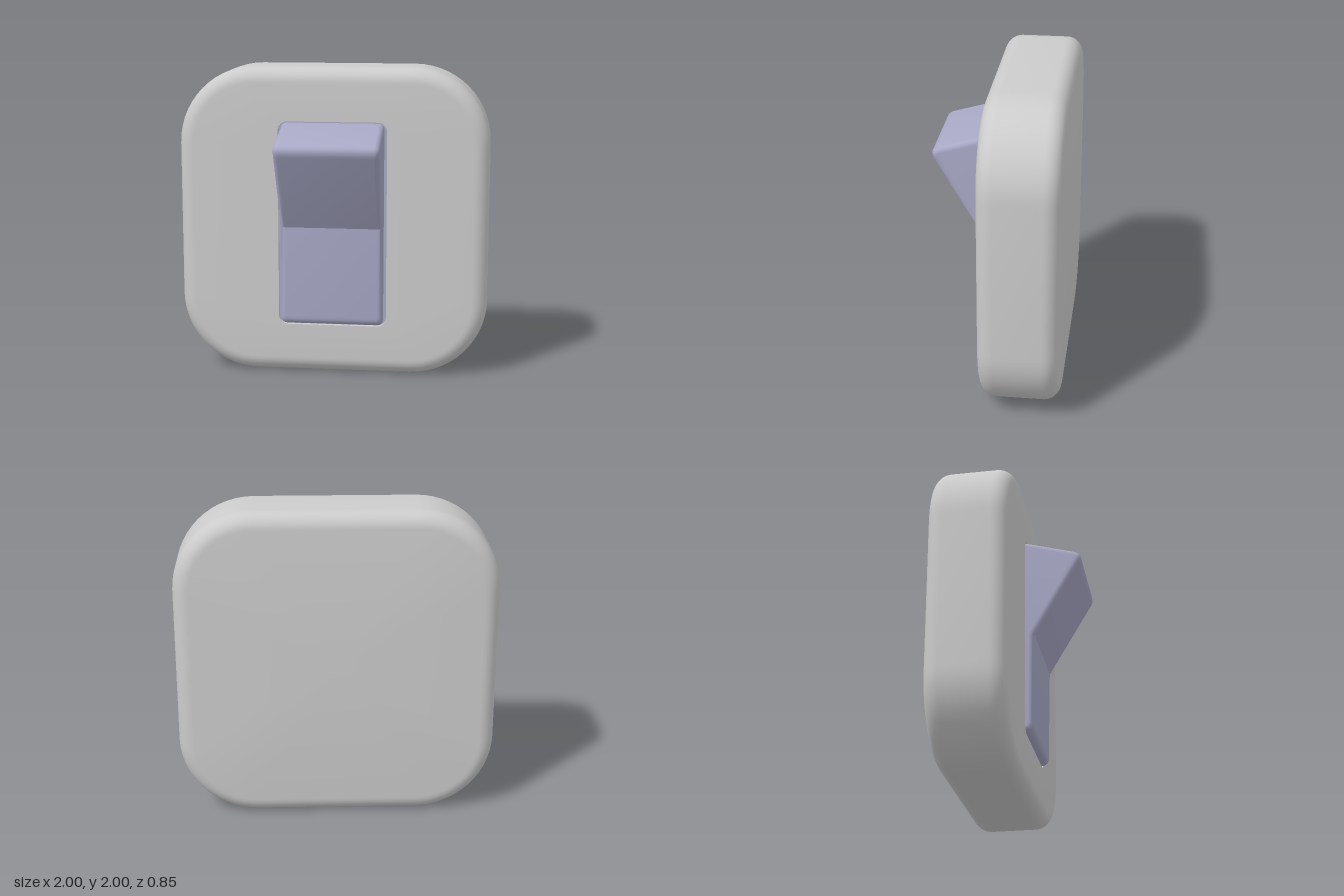
import * as THREE from 'three';
import { toCreasedNormals } from 'three/addons/utils/BufferGeometryUtils.js';

const CORNER_STEPS = 14;

// Rounded rectangle loop, counter-clockwise seen from +z
function ring(halfW, halfH, r, z) {
  const pts = [];
  for (let c = 0; c < 4; c++) {
    const sx = c === 0 || c === 3 ? 1 : -1;
    const sy = c < 2 ? 1 : -1;
    for (let i = 0; i <= CORNER_STEPS; i++) {
      const a = (c + i / CORNER_STEPS) * Math.PI / 2;
      pts.push(sx * (halfW - r) + r * Math.cos(a), sy * (halfH - r) + r * Math.sin(a), z);
    }
  }
  return pts;
}

// Skin a list of equal loops, ordered from back to front
function loft(rings) {
  const n = rings[0].length / 3;
  const index = [];
  for (let i = 0; i < rings.length - 1; i++) {
    for (let j = 0; j < n; j++) {
      const a = i * n + j, b = i * n + (j + 1) % n;
      index.push(a, b, b + n, a, b + n, a + n);
    }
  }
  const geo = new THREE.BufferGeometry();
  geo.setAttribute('position', new THREE.Float32BufferAttribute(rings.flat(), 3));
  geo.setIndex(index);
  return toCreasedNormals(geo, 0.45);
}

function part(name, geo, color) {
  const mesh = new THREE.Mesh(geo, new THREE.MeshStandardMaterial({ color }));
  mesh.name = name;
  return mesh;
}

export function createModel() {
  const group = new THREE.Group();
  group.name = 'rockerSwitch';
  const blue = 0xa8a8c6;
  const back = -0.425, front = 0.07, bevel = 0.1, floor = 0.04;

  // Wall plate: rounded edges front and back, shallow slot in the front
  const rings = [ring(0, 0, 0, back)];
  const edge = (a, z) => {
    const inset = bevel * (1 - Math.cos(a));
    rings.push(ring(1 - inset, 1 - inset, 0.5 - inset, z + bevel * Math.sin(a)));
  };
  for (let i = 0; i <= 8; i++) edge((i / 8 - 1) * Math.PI / 2, back + bevel);
  for (let i = 0; i <= 8; i++) edge((i / 8) * Math.PI / 2, front - bevel);
  rings.push(ring(0.35, 0.665, 0.06, front), ring(0.35, 0.665, 0.06, floor - 0.02));
  // Shift the slot loops down to the rocker's centre
  for (const r of rings.slice(-2)) for (let i = 1; i < r.length; i += 3) r[i] -= 0.01;
  const plate = part('plate', loft(rings), 0xcccccc);
  plate.position.y = 1;
  group.add(plate);

  // Floor of the slot, seen as a thin border around the rocker
  const slotFloor = part('slotFloor', loft([ring(0.35, 0.665, 0.06, floor), ring(0, 0, 0, floor)]), blue);
  slotFloor.position.y = 0.99;
  group.add(slotFloor);

  // Rocker: side profile (z, y) with softened tip and foot, extruded across x
  const s = new THREE.Shape();
  s.moveTo(-0.05, 0.335);
  s.lineTo(0.06, 0.335);
  s.quadraticCurveTo(0.113, 0.335, 0.114, 0.39);
  s.lineTo(0.125, 0.98);
  s.lineTo(0.411, 1.468);
  s.quadraticCurveTo(0.45, 1.536, 0.374, 1.557);
  s.lineTo(0.07, 1.645);
  s.lineTo(-0.05, 1.645);
  s.closePath();
  const soft = 0.035, width = 0.66;
  const rocker = new THREE.ExtrudeGeometry(s, {
    depth: width - 2 * soft, curveSegments: 8,
    bevelEnabled: true, bevelSize: soft, bevelThickness: soft, bevelOffset: -soft, bevelSegments: 6,
  });
  rocker.translate(0, 0, soft - width / 2);
  rocker.rotateY(-Math.PI / 2);
  group.add(part('rocker', toCreasedNormals(rocker, 0.45), blue));

  return group;
}
